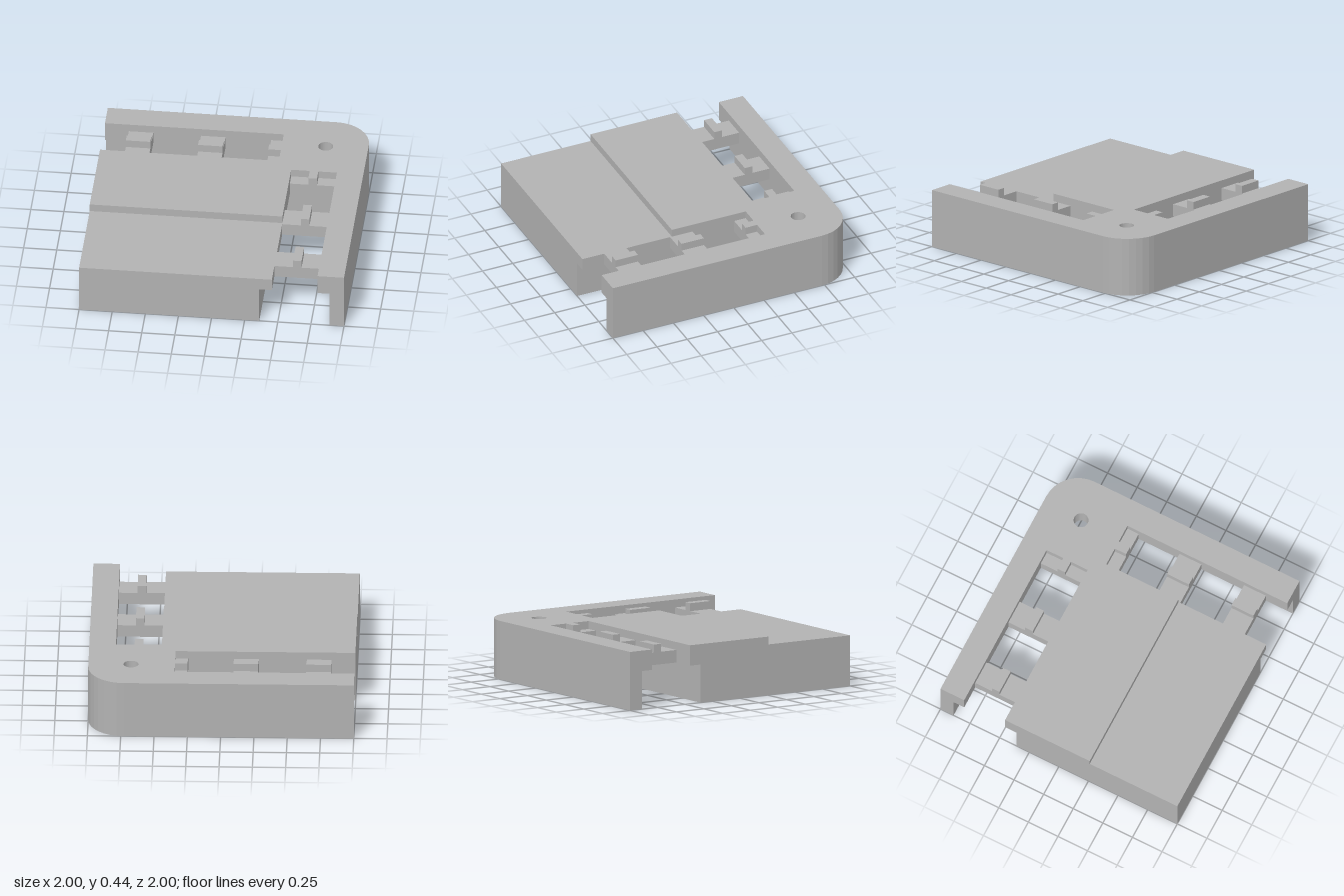
import * as THREE from 'three';

const gray = new THREE.MeshStandardMaterial({ color: 0xb2b2b2 });
gray.name = 'plain gray';

// Heights of the three layers
const CEILING = 0.29, LEDGE = 0.385, TOP = 0.445;
const PIN = { x: 0.68, z: -0.68 };

// The plan is symmetric about the diagonal through the rounded corner
const mirror = ([x, z]) => [-z, -x];
const mirrorList = (points) => points.map(mirror).reverse();

// Rounded outer corner, running from the right edge to the back edge
function roundedCorner(radius = 0.27, steps = 8) {
  const points = [];
  for (let i = 0; i <= steps; i++) {
    const a = (i / steps) * Math.PI / 2;
    points.push([1 - radius + radius * Math.cos(a), -1 + radius - radius * Math.sin(a)]);
  }
  return points;
}

const toPlan = (points) => points.map(([x, z]) => new THREE.Vector2(x, -z));
const rect = (x0, x1, z0, z1) => [[x0, z0], [x1, z0], [x1, z1], [x0, z1]];

function circleHole(radius) {
  const path = new THREE.Path();
  path.absarc(PIN.x, -PIN.z, radius, 0, Math.PI * 2, true);
  return path;
}

// Extrude a plan outline upward between two heights
function layer(name, outline, holes, y0, y1) {
  const shape = new THREE.Shape(toPlan(outline));
  shape.holes.push(...holes);
  const geometry = new THREE.ExtrudeGeometry(shape, { depth: y1 - y0, bevelEnabled: false, curveSegments: 16 });
  geometry.rotateX(-Math.PI / 2).translate(0, y0, 0);
  const mesh = new THREE.Mesh(geometry, gray);
  mesh.name = name;
  return mesh;
}

export function createModel() {
  const group = new THREE.Group();
  group.name = 'cornerTray';

  // Inner block standing between the two channels
  group.add(layer('innerBlock', rect(-1, 0.36, -0.36, 1), [], 0, CEILING));

  // Outer walls with the solid corner and its wide bore
  const wallHalf = [[0.36, -0.36], [0.89, -0.36], [0.89, 1], [1, 1]];
  group.add(layer('outerWall',
    [...wallHalf, ...roundedCorner(), ...mirrorList(wallHalf.slice(1))],
    [circleHole(0.205)], 0, CEILING));

  // Slotted plate: the bars left between the slots are the bridges
  const plateHalf = [[-1, 1], [0.455, 1], [0.455, 0.82], [0.8, 0.82], [0.8, 1], [1, 1]];
  const slots = [rect(0.455, 0.8, 0.275, 0.635), rect(0.455, 0.8, -0.255, 0.09)];
  const slotHoles = [...slots, ...slots.map(mirrorList)].map((s) => new THREE.Path(toPlan(s)));
  group.add(layer('slottedPlate',
    [...plateHalf, ...roundedCorner(), ...mirrorList(plateHalf.slice(1))],
    [...slotHoles, circleHole(0.056)], CEILING, LEDGE));

  // Raised top with a tongue and two pockets at the end of each slot row
  const tongue = [[0.455, -0.35], [0.595, -0.35], [0.595, -0.255], [0.66, -0.255],
    [0.66, -0.35], [0.8, -0.35], [0.8, 1], [1, 1]];
  group.add(layer('raisedTop',
    [[-1, 0.26], [0.455, 0.26], ...tongue, ...roundedCorner(), ...mirrorList(tongue), [-1, -0.455]],
    [circleHole(0.056)], LEDGE, TOP));

  // Ridges along the middle of the bridges
  for (const [z0, z1] of [[0.09, 0.275], [0.635, 0.82]]) {
    const ridge = rect(0.595, 0.66, z0, z1);
    group.add(layer('rightBridgeRidge', ridge, [], LEDGE, TOP));
    group.add(layer('backBridgeRidge', mirrorList(ridge), [], LEDGE, TOP));
  }

  return group;
}
